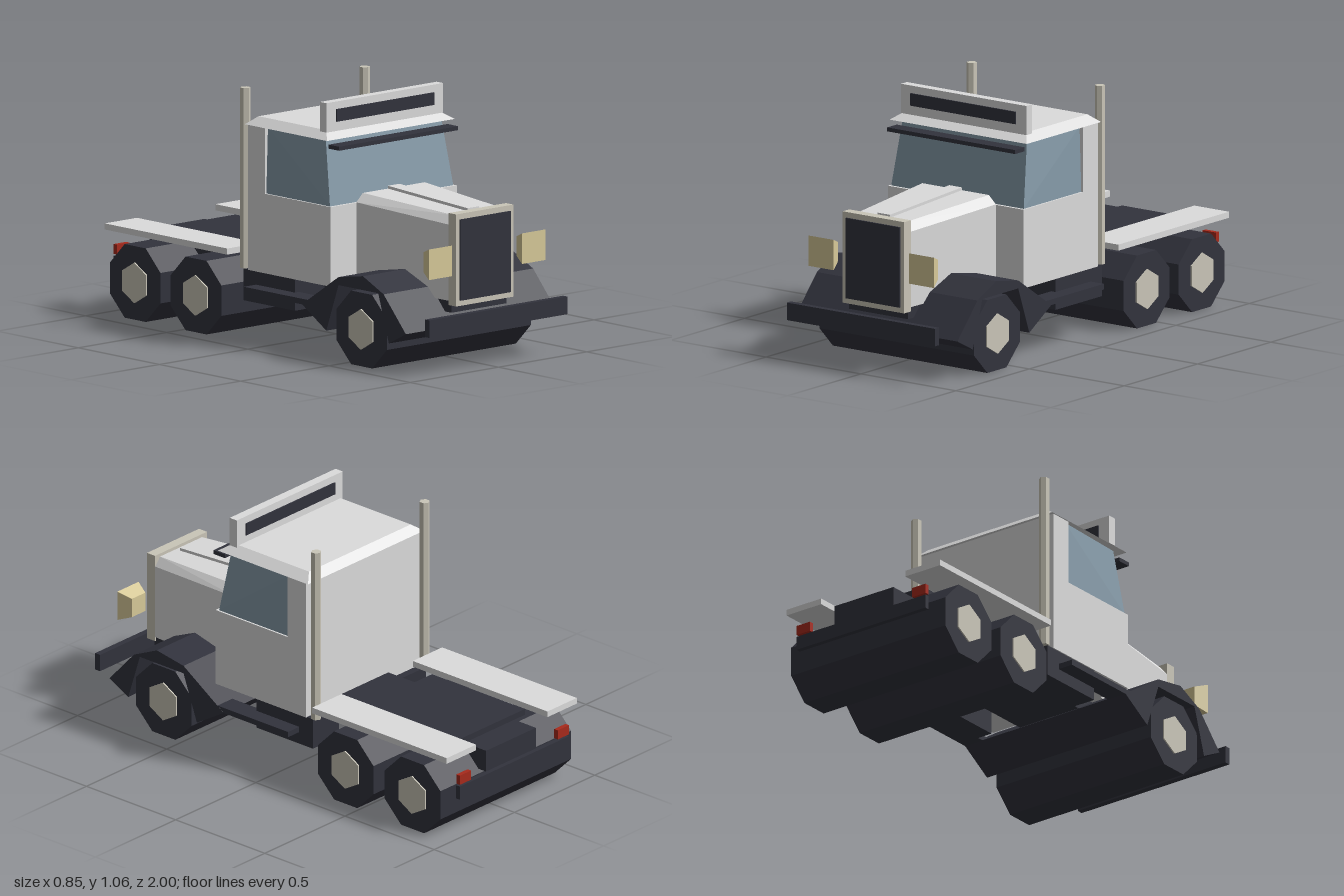
import * as THREE from 'three';
import { ConvexGeometry } from 'three/addons/geometries/ConvexGeometry.js';

const mat = (name, color) => {
  const m = new THREE.MeshStandardMaterial({ color });
  m.name = name;
  return m;
};

export function createModel() {
  const white = mat('white paint', 0xdcdcdc);
  const dark = mat('dark chassis', 0x32333d);
  const glass = mat('window glass', 0x869ba9);
  const metal = mat('pale metal', 0xcac6b8);
  const lamp = mat('headlight cream', 0xd8ca99);
  const red = mat('tail light red', 0xa82a1c);

  const truck = new THREE.Group();
  truck.name = 'truck';

  const add = (name, geometry, material) => {
    const mesh = new THREE.Mesh(geometry, material);
    mesh.name = name;
    truck.add(mesh);
    return mesh;
  };
  // Box given by its limits on each axis
  const box = (name, material, x0, x1, y0, y1, z0, z1) =>
    add(name, new THREE.BoxGeometry(x1 - x0, y1 - y0, z1 - z0)
      .translate((x0 + x1) / 2, (y0 + y1) / 2, (z0 + z1) / 2), material);
  // Convex block from points [x, y, z], mirrored in x
  const block = (name, material, points) =>
    add(name, new ConvexGeometry(points.flatMap(([x, y, z]) =>
      [new THREE.Vector3(x, y, z), new THREE.Vector3(-x, y, z)])), material);
  // Faceted disc with its axis along x
  const disc = (name, material, radius, width, sides, x, y, z) => {
    const g = new THREE.CylinderGeometry(radius, radius, width, sides, 1, false, Math.PI / sides)
      .rotateZ(Math.PI / 2).toNonIndexed();
    g.computeVertexNormals();
    return add(name, g.translate(x, y, z), material);
  };

  // Wheels with hubs on both sides
  for (const z of [0.6, -0.42, -0.795]) {
    disc('wheelRoller', dark, 0.169, 0.814, 8, 0, 0.157, z);
    for (const s of [-1, 1]) disc('wheelHub', metal, 0.086, 0.008, 6, s * 0.409, 0.158, z);
  }

  // Frame, rear coupling plate and bumpers
  box('chassis', dark, -0.155, 0.155, 0.235, 0.33, -0.98, 0.88);
  box('couplingPlate', dark, -0.22, 0.22, 0.33, 0.357, -0.86, -0.34);
  box('frontBumper', dark, -0.39, 0.39, 0.175, 0.25, 0.973, 1);
  box('rearBumper', dark, -0.34, 0.34, 0.175, 0.235, -1, -0.978);

  // Front fender arch, side profile as [z, y]
  const arch = new THREE.Shape([
    [0.785, 0.126], [0.89, 0.18], [0.753, 0.33], [0.625, 0.389], [0.475, 0.364],
    [0.25, 0.217], [0.4, 0.126], [0.475, 0.33], [0.72, 0.33],
  ].map(([z, y]) => new THREE.Vector2(z, y)));
  add('frontFender', new THREE.ExtrudeGeometry(arch, { depth: 0.846, bevelEnabled: false })
    .rotateY(-Math.PI / 2).translate(0.423, 0, 0), dark);

  // Hood, tapering forward, with a raised centre strip
  block('hood', white, [
    [0.212, 0.297, 0.355], [0.212, 0.637, 0.355], [0.175, 0.672, 0.355],
    [0.16, 0.285, 0.875], [0.16, 0.608, 0.875], [0.13, 0.644, 0.875],
  ]);
  block('hoodStrip', white, [
    [0.033, 0.66, 0.355], [0.033, 0.684, 0.355], [0.033, 0.635, 0.845], [0.033, 0.658, 0.845],
  ]);

  // Grille
  box('grilleFrame', metal, -0.162, 0.162, 0.267, 0.658, 0.87, 0.915);
  box('grillePanel', dark, -0.142, 0.142, 0.29, 0.634, 0.915, 0.922);

  // Cab: lower body, glazed front half, solid rear half, roof
  box('cabBody', white, -0.357, 0.357, 0.297, 0.635, -0.153, 0.355);
  box('cabRear', white, -0.357, 0.357, 0.635, 0.914, -0.153, -0.05);
  block('cabWindows', glass, [
    [0.349, 0.635, 0.342], [0.327, 0.914, 0.292], [0.349, 0.635, -0.05], [0.34, 0.914, -0.05],
  ]);
  block('roof', white, [
    [0.362, 0.914, 0.338], [0.362, 0.914, -0.168], [0.317, 0.947, 0.285], [0.317, 0.947, -0.133],
  ]);

  // Sun visor and roof board
  box('sunVisor', dark, -0.337, 0.337, 0.876, 0.893, 0.32, 0.385);
  box('roofBoard', white, -0.33, 0.33, 0.94, 1.065, 0.26, 0.3);
  for (const z of [0.257, 0.303])
    box('roofBoardPanel', dark, -0.277, 0.277, 0.98, 1.033, z - 0.003, z + 0.003);

  // Paired parts
  for (const s of [-1, 1]) {
    const pair = (name, material, a, b, ...rest) =>
      box(name, material, Math.min(s * a, s * b), Math.max(s * a, s * b), ...rest);
    pair('rearFender', white, 0.222, 0.405, 0.357, 0.383, -0.985, -0.23);
    pair('sideTank', dark, 0.19, 0.352, 0.163, 0.298, -0.187, 0.13);
    pair('step', dark, 0.33, 0.422, 0.216, 0.24, -0.11, 0.3);
    pair('tailLight', red, 0.27, 0.34, 0.243, 0.285, -1, -0.98);

    // Exhaust stack
    const pipe = new THREE.CylinderGeometry(0.022, 0.022, 0.765, 6).toNonIndexed();
    pipe.computeVertexNormals();
    add('exhaustStack', pipe.translate(s * 0.338, 0.682, -0.192), metal);

    // Headlight, widening forward
    block('headlight', lamp, [
      [0.066, 0.065, 0.03], [0.066, -0.065, 0.03], [0.042, 0.042, -0.03], [0.042, -0.042, -0.03],
    ]).position.set(s * 0.264, 0.468, 0.9);
  }

  return truck;
}
